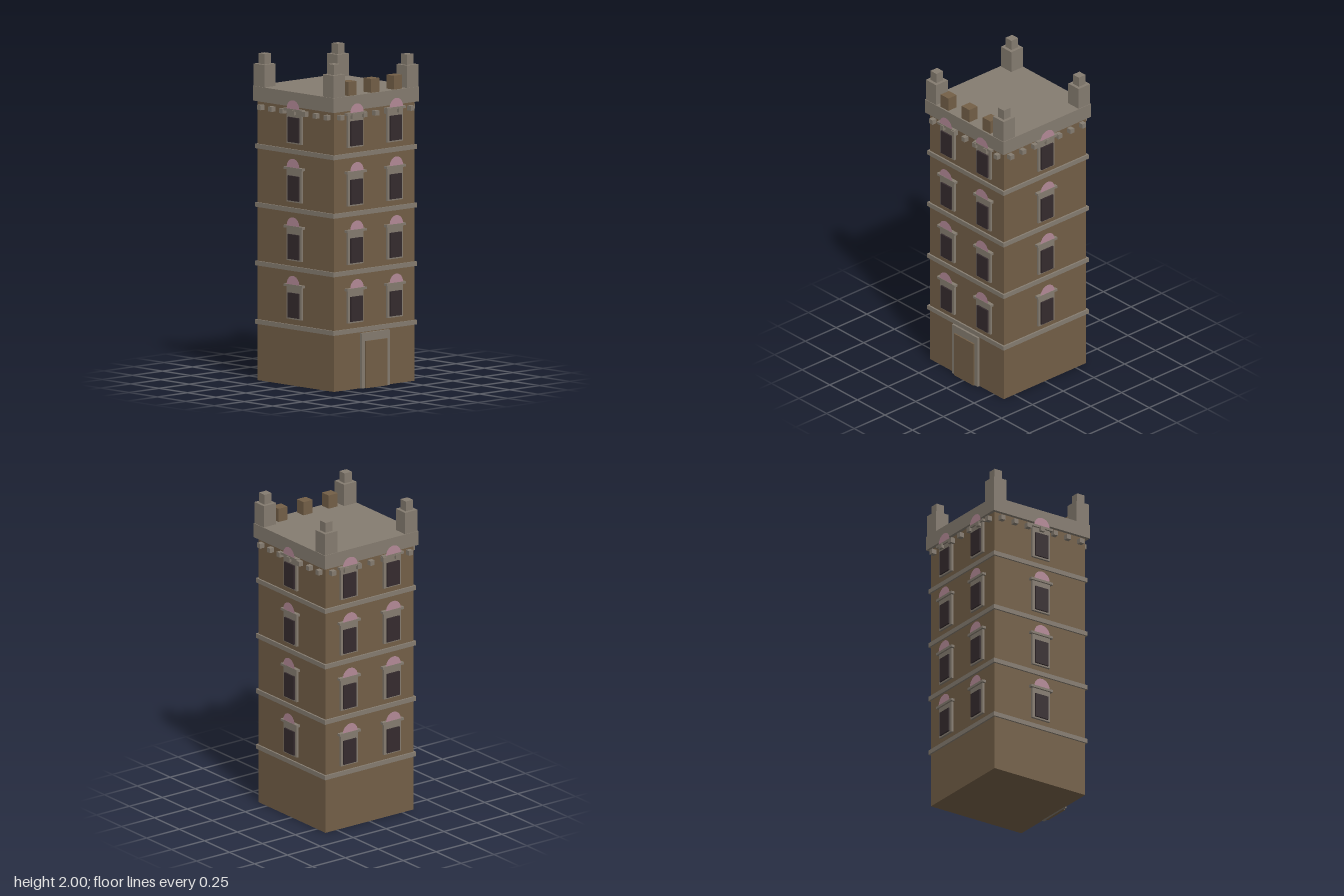
import * as THREE from 'three';

const mat = (name, color) => {
  const m = new THREE.MeshStandardMaterial({ color });
  m.name = name;
  return m;
};

export function createModel() {
  const brick = mat('brown brick', 0x735f47);
  const stone = mat('grey stone', 0x857c70);
  const glass = mat('dark glass', 0x352b2e);
  const pink = mat('pink arch', 0xb48a97);
  pink.side = THREE.DoubleSide;

  const tower = new THREE.Group();
  tower.name = 'tower';

  // Box from its centre in x and z, and its bottom and top in y
  const box = (parent, name, material, w, d, y0, y1, x = 0, z = 0) => {
    const mesh = new THREE.Mesh(new THREE.BoxGeometry(w, y1 - y0, d), material);
    mesh.name = name;
    mesh.position.set(x, (y0 + y1) / 2, z);
    parent.add(mesh);
    return mesh;
  };

  const WALL = 0.335;
  const FLOOR = 0.358;

  // Box standing out from the wall plane to the given distance
  const relief = (parent, name, material, w, y0, y1, out, x = 0) =>
    box(parent, name, material, w, out - WALL + 0.005, y0, y1, x, (out + WALL - 0.005) / 2);

  // Main body, floor bands and roof slab
  box(tower, 'body', brick, WALL * 2, WALL * 2, 0, 1.72);
  for (let i = 0; i < 4; i++) {
    box(tower, 'floorBand', stone, 0.692, 0.692, 0.345 + i * FLOOR, 0.373 + i * FLOOR);
  }
  box(tower, 'parapet', stone, 0.712, 0.712, 1.71, 1.8);

  // Window: frame, pane, lintel and a thin half-round arch
  const addWindow = (parent, x, y) => {
    const g = new THREE.Group();
    g.name = 'window';
    g.position.set(x, y, 0);
    relief(g, 'windowFrame', stone, 0.13, 0.408, 0.607, 0.349);
    relief(g, 'windowPane', glass, 0.095, 0.418, 0.57, 0.359);
    relief(g, 'windowLintel', stone, 0.16, 0.607, 0.622, 0.36);
    const arch = new THREE.Mesh(new THREE.CircleGeometry(0.056, 24, 0, Math.PI), pink);
    arch.name = 'windowArch';
    arch.position.set(0, 0.62, 0.358);
    g.add(arch);
    parent.add(g);
  };

  // Four walls: two window columns front and back, one on each side
  ['frontWall', 'leftWall', 'backWall', 'rightWall'].forEach((name, side) => {
    const wall = new THREE.Group();
    wall.name = name;
    wall.rotation.y = side * Math.PI / 2;
    for (let floor = 0; floor < 4; floor++) {
      for (const x of side % 2 ? [0] : [-0.164, 0.164]) addWindow(wall, x, floor * FLOOR);
    }
    for (let i = -3; i <= 3; i++) {
      relief(wall, 'corbel', stone, 0.031, 1.66, 1.69, 0.366, i * 0.0973);
    }
    tower.add(wall);
  });

  // Door
  relief(tower, 'doorFrame', stone, 0.234, 0, 0.338, 0.351);
  relief(tower, 'door', brick, 0.178, 0, 0.288, 0.36);

  // Corner turrets
  for (const x of [-0.305, 0.305]) {
    for (const z of [-0.305, 0.305]) {
      box(tower, 'turret', stone, 0.094, 0.094, 1.795, 1.937, x, z);
      box(tower, 'turretCap', stone, 0.054, 0.054, 1.935, 2, x, z);
    }
  }

  // Front battlements
  for (const x of [-0.19, 0, 0.19]) {
    box(tower, 'battlement', brick, 0.069, 0.067, 1.795, 1.885, x, 0.312);
  }

  return tower;
}
